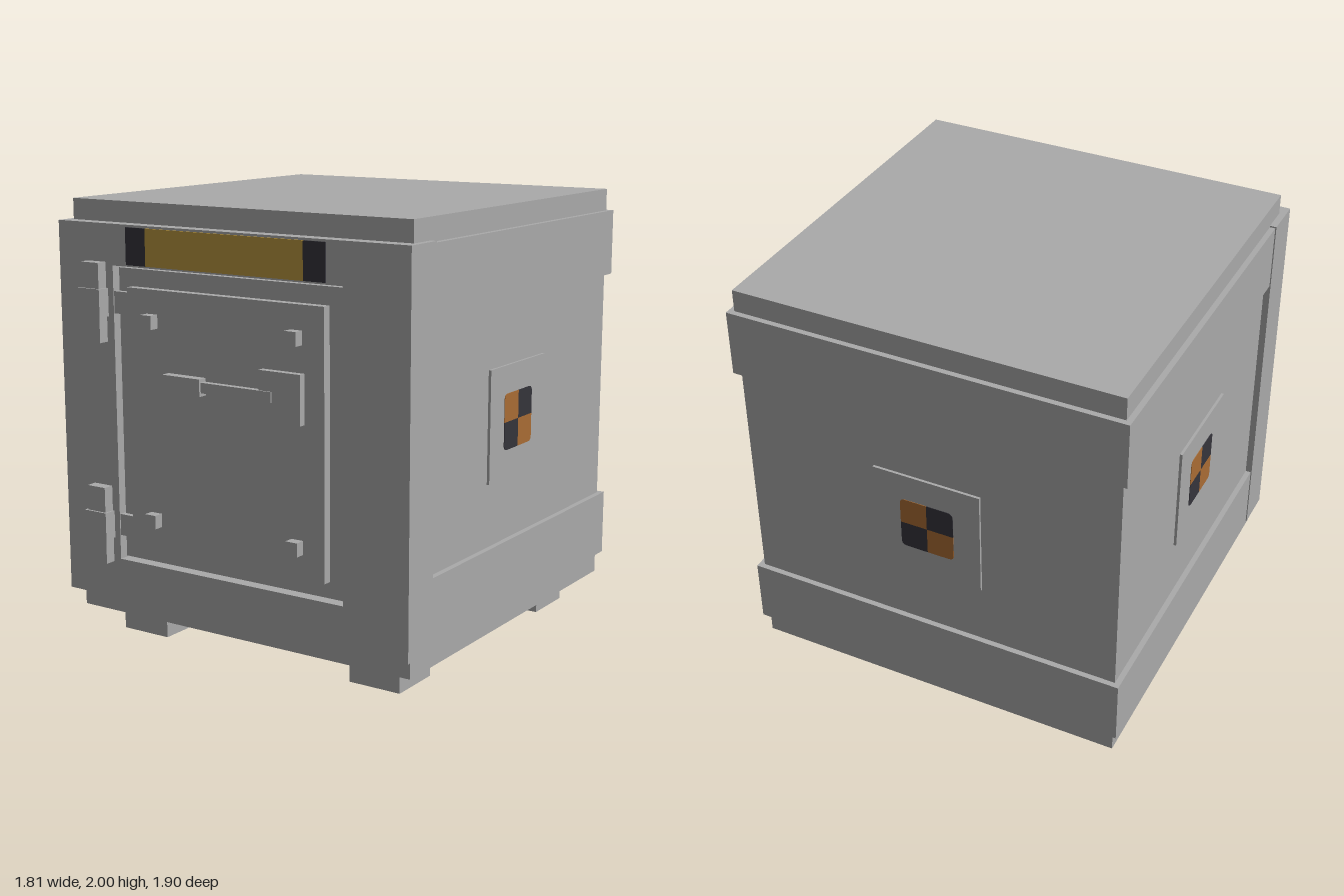
import * as THREE from 'three';

const mat = (name, color) => new THREE.MeshStandardMaterial({ name, color });

export function createModel() {
  const steel = mat('steelGrey', 0xaaaaaa);
  const yellow = mat('stripeYellow', 0xb8963f);
  const dark = mat('markerDark', 0x35343b);
  const orange = mat('markerOrange', 0xa96c34);

  const model = new THREE.Group();
  model.name = 'safe';

  // Box given by its minimum and maximum on each axis
  const box = (parent, name, material, x0, x1, y0, y1, z0, z1) => {
    const mesh = new THREE.Mesh(new THREE.BoxGeometry(x1 - x0, y1 - y0, z1 - z0), material);
    mesh.position.set((x0 + x1) / 2, (y0 + y1) / 2, (z0 + z1) / 2);
    mesh.name = name;
    parent.add(mesh);
    return mesh;
  };
  const group = (name) => {
    const g = new THREE.Group();
    g.name = name;
    model.add(g);
    return g;
  };

  // Body with upper and lower armour bands
  box(model, 'body', steel, -0.875, 0.875, 0.13, 2, -0.925, 0.825);
  box(model, 'upperBand', steel, -0.9, 0.9, 1.6, 1.9, -0.95, 0.71);
  box(model, 'lowerBand', steel, -0.9, 0.9, 0.228, 0.53, -0.95, 0.71);

  // Feet
  for (const s of [-1, 1]) {
    for (const z of [0.575, -0.675]) {
      box(model, 'foot', steel, s * 0.625 - 0.125, s * 0.625 + 0.125, 0, 0.13, z - 0.125, z + 0.125);
    }
  }

  // Front frame with door opening
  const rect = (target, x0, x1, y0, y1) =>
    target.moveTo(x0, y0).lineTo(x1, y0).lineTo(x1, y1).lineTo(x0, y1).closePath();
  const frameShape = rect(new THREE.Shape(), -0.905, 0.905, 0.222, 1.907);
  frameShape.holes.push(rect(new THREE.Path(), -0.6, 0.592, 0.408, 1.727));
  const frame = new THREE.Mesh(
    new THREE.ExtrudeGeometry(frameShape, { depth: 0.19, bevelEnabled: false }), steel);
  frame.position.z = 0.7;
  frame.name = 'frontFrame';
  model.add(frame);

  // Door: recessed slab, raised panel and bolts
  const door = group('door');
  box(door, 'doorSlab', steel, -0.59, 0.582, 0.418, 1.717, 0.82, 0.86);
  box(door, 'doorPanel', steel, -0.515, 0.508, 0.49, 1.64, 0.85, 0.9);
  for (const x of [-0.378, 0.372]) {
    for (const y of [0.628, 1.505]) {
      box(door, 'doorBolt', steel, x - 0.029, x + 0.029, y - 0.03, y + 0.03, 0.89, 0.945);
    }
  }

  // Handle
  const handle = group('handle');
  box(handle, 'handlePlate', steel, 0.205, 0.412, 1.148, 1.36, 0.89, 0.932);
  box(handle, 'handleBar', steel, -0.1, 0.27, 1.23, 1.275, 0.91, 0.939);
  box(handle, 'handleGrip', steel, -0.29, -0.09, 1.215, 1.29, 0.905, 0.949);

  // Hinges
  for (const y of [0.565, 1.565]) {
    const hinge = group('hinge');
    box(hinge, 'hingePin', steel, -0.74, -0.64, y - 0.175, y + 0.175, 0.88, 0.94);
    box(hinge, 'hingeKnuckle', steel, -0.753, -0.63, y - 0.062, y + 0.062, 0.88, 0.95);
    box(hinge, 'hingeTab', steel, -0.6, -0.51, y - 0.047, y + 0.05, 0.85, 0.885);
  }

  // Warning stripe above the door
  const stripe = group('warningStripe');
  box(stripe, 'stripeCentre', yellow, -0.41, 0.405, 1.735, 1.897, 0.889, 0.898);
  box(stripe, 'stripeEndRight', dark, -0.518, -0.41, 1.735, 1.897, 0.889, 0.898);
  box(stripe, 'stripeEndLeft', dark, 0.405, 0.512, 1.735, 1.897, 0.889, 0.898);

  // Marker quadrant in direction (sx, sy) with its outer corner rounded
  const quadrant = (sx, sy) => {
    const s = 0.125, r = 0.025;
    const shape = new THREE.Shape();
    shape.moveTo(0, 0);
    shape.lineTo(sx * s, 0);
    shape.lineTo(sx * s, sy * (s - r));
    shape.quadraticCurveTo(sx * s, sy * s, sx * (s - r), sy * s);
    shape.lineTo(0, sy * s);
    shape.closePath();
    return new THREE.ExtrudeGeometry(shape, { depth: 0.003, bevelEnabled: false, curveSegments: 5 });
  };

  // Square plate with a four-part marker, facing local +z
  const markerPlate = (name, x, z, turn) => {
    const g = group(name);
    box(g, 'markerBase', steel, -0.25, 0.25, -0.25, 0.25, -0.01, 0.012);
    for (const sx of [-1, 1]) {
      for (const sy of [-1, 1]) {
        const isOrange = sx !== sy;
        const q = new THREE.Mesh(quadrant(sx, sy), isOrange ? orange : dark);
        q.name = isOrange ? 'orangeQuarter' : 'darkQuarter';
        q.position.z = 0.0115;
        g.add(q);
      }
    }
    g.position.set(x, 1.063, z);
    g.rotation.y = turn;
  };
  markerPlate('leftMarkerPlate', 0.875, -0.048, Math.PI / 2);
  markerPlate('rightMarkerPlate', -0.875, -0.048, -Math.PI / 2);
  markerPlate('backMarkerPlate', 0, -0.925, Math.PI);

  return model;
}
